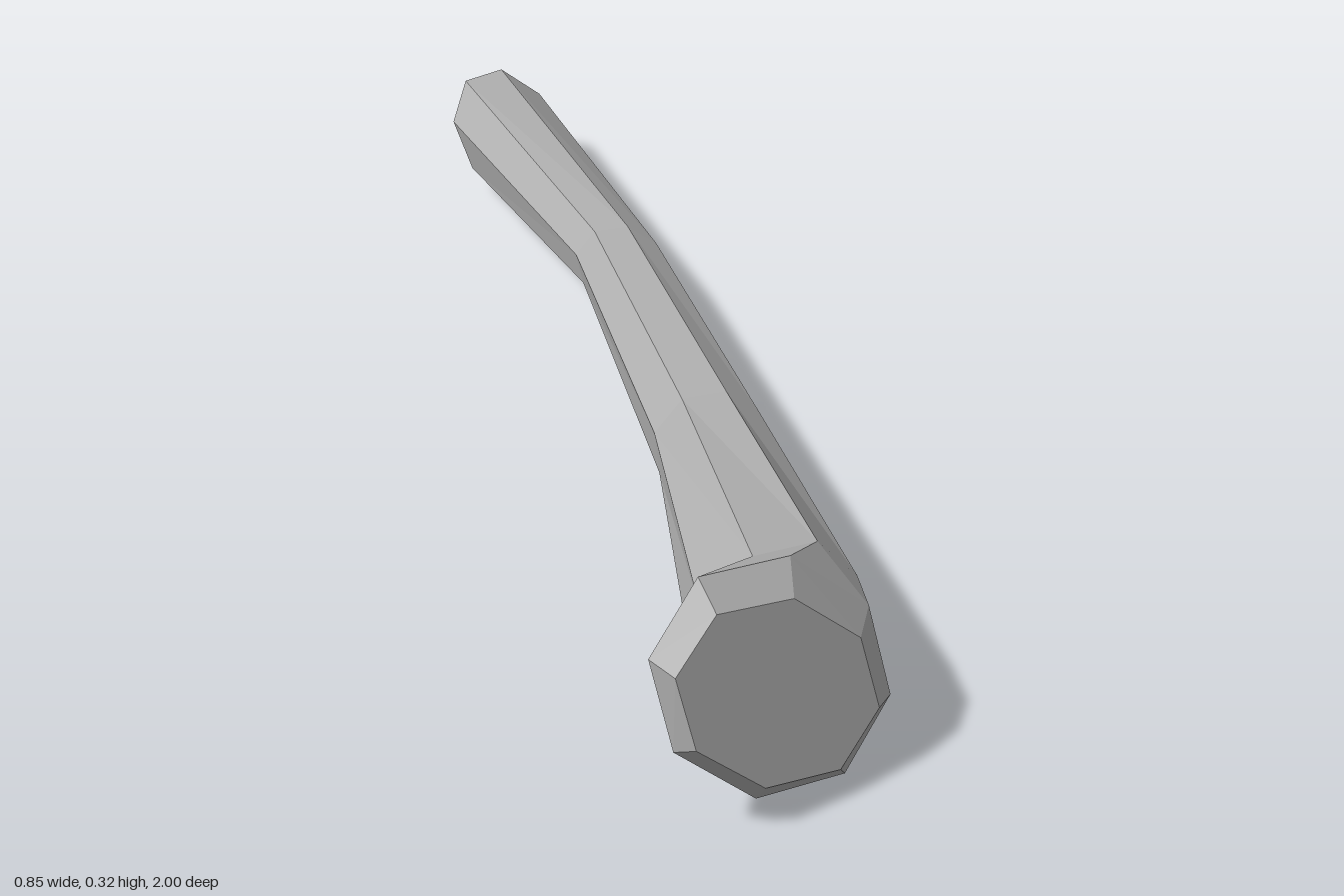
import * as THREE from 'three';

const SIDES = 8;

// Octagon from a centre and two half axes (u points right, v points up)
function ring(c, u, v) {
  const C = new THREE.Vector3(...c), U = new THREE.Vector3(...u), V = new THREE.Vector3(...v);
  return Array.from({ length: SIDES }, (_, k) => {
    const a = ((3.5 - k) / SIDES) * Math.PI * 2; // clockwise seen from the front
    return C.clone().addScaledVector(U, Math.cos(a)).addScaledVector(V, Math.sin(a));
  });
}

// Skin over rings listed from back to front, with optional flat end caps
function skin(rings, capBack, capFront) {
  const pos = [];
  const tri = (...pts) => pts.forEach((p) => pos.push(p.x, p.y, p.z));
  for (let i = 0; i < rings.length - 1; i++) {
    const A = rings[i], B = rings[i + 1];
    for (let j = 0; j < SIDES; j++) {
      const n = (j + 1) % SIDES;
      tri(A[j], B[j], B[n]);
      tri(A[j], B[n], A[n]);
    }
  }
  const first = rings[0], last = rings[rings.length - 1];
  for (let j = 1; j < SIDES - 1; j++) {
    if (capBack) tri(first[0], first[j], first[j + 1]);
    if (capFront) tri(last[0], last[j + 1], last[j]);
  }
  const geo = new THREE.BufferGeometry();
  geo.setAttribute('position', new THREE.Float32BufferAttribute(pos, 3));
  geo.computeVertexNormals();
  return geo;
}

export function createModel() {
  const grey = new THREE.MeshStandardMaterial({ color: 0xb0b0b0 });
  grey.name = 'grey';
  const model = new THREE.Group();
  model.name = 'clubHandle';

  const add = (name, geo) => {
    const mesh = new THREE.Mesh(geo, grey);
    mesh.name = name;
    model.add(mesh);
  };

  const backCap = ring([-0.357, 0.079, -0.927], [0.054, 0, -0.061], [-0.036, 0.075, -0.027]);
  const backRim = ring([-0.344, 0.089, -0.917], [0.067, 0, -0.076], [-0.046, 0.094, -0.033]);
  const waist = ring([-0.075, 0.105, -0.39], [0.065, 0.005, -0.021], [-0.014, 0.063, 0.002]);
  const middle = ring([0.135, 0.121, 0.205], [0.077, 0.005, -0.03], [-0.01, 0.08, -0.003]);
  const neck = ring([0.28, 0.165, 0.744], [0.097, -0.012, -0.082], [0.007, 0.109, -0.02]);
  const headRim = ring([0.287, 0.167, 0.865], [0.131, -0.028, -0.131], [-0.041, 0.158, -0.012]);
  const headFace = ring([0.299, 0.169, 0.903], [0.11, -0.025, -0.105], [-0.034, 0.125, -0.006]);

  // Bevelled back end
  add('backEnd', skin([backCap, backRim], true, false));
  // Bent, tapering shaft
  add('shaft', skin([backRim, waist, middle, neck], false, false));
  // Flared head with bevelled flat face
  add('head', skin([neck, headRim, headFace], false, true));

  return model;
}
